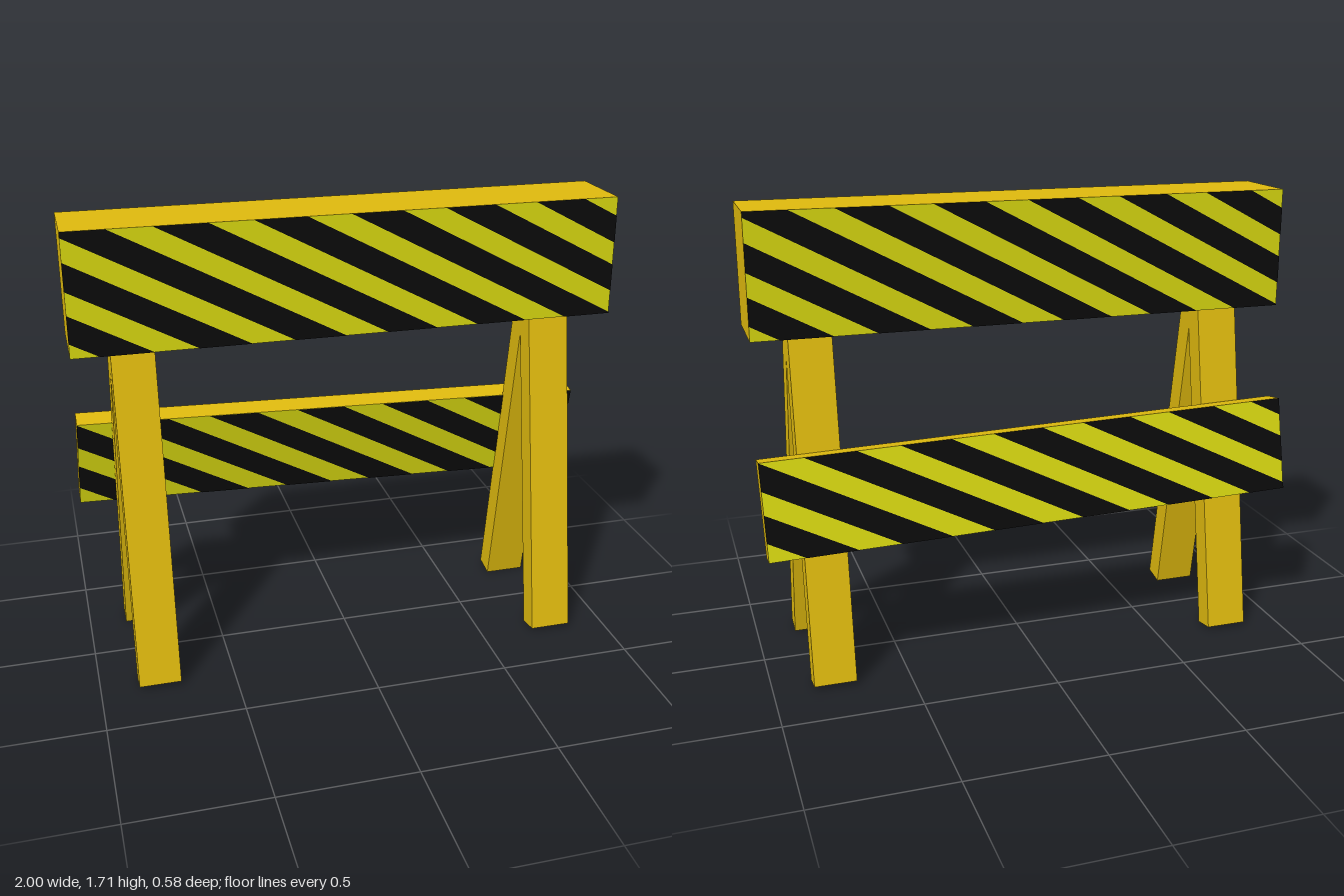
import * as THREE from 'three';

const material = (name, color) => {
  const m = new THREE.MeshStandardMaterial({ color });
  m.name = name;
  return m;
};

// Keep the part of a polygon where sign * x <= limit
function clipX(points, sign, limit) {
  const out = [];
  points.forEach((p, i) => {
    const q = points[(i + 1) % points.length];
    const dp = limit - sign * p.x, dq = limit - sign * q.x;
    if (dp >= 0) out.push(p);
    if (dp * dq < 0) out.push(p.clone().lerp(q, dp / (dp - dq)));
  });
  return out;
}

// Diagonal bands that fall to the right, trimmed to a rectangle
function stripeGeometry(length, height, phase) {
  const period = 0.342, width = 0.187, slope = 0.535;
  const run = height / slope, top = height / 2, half = length / 2;
  const shapes = [];
  for (let a = -half + phase - 5 * period; a < half; a += period) {
    let band = [
      new THREE.Vector2(a, top), new THREE.Vector2(a + run, -top),
      new THREE.Vector2(a + run + width, -top), new THREE.Vector2(a + width, top),
    ];
    band = clipX(clipX(band, 1, half), -1, half);
    if (band.length > 2) shapes.push(new THREE.Shape(band));
  }
  return new THREE.ShapeGeometry(shapes);
}

export function createModel() {
  const gold = material('gold paint', 0xdeb90e);
  const yellow = material('warning yellow', 0xd6d610);
  const black = material('stripe black', 0x0b0b0b);
  const model = new THREE.Group();
  model.name = 'barricade';

  // Board with striped front and back faces
  function board(name, length, height, depth, phase) {
    const group = new THREE.Group();
    group.name = name;
    const core = new THREE.Mesh(new THREE.BoxGeometry(length, height, depth),
      [gold, gold, gold, gold, yellow, yellow]);
    core.name = name + 'Core';
    group.add(core);
    for (const side of [1, -1]) {
      const stripes = new THREE.Mesh(stripeGeometry(length, height, phase), black);
      stripes.name = name + (side > 0 ? 'FrontStripes' : 'BackStripes');
      stripes.position.z = side * (depth / 2 + 0.002);
      if (side < 0) stripes.rotation.y = Math.PI;
      group.add(stripes);
    }
    return group;
  }

  // Top beam
  const beam = board('topBeam', 1.99, 0.44, 0.284, 0.305);
  beam.position.set(-0.004, 1.486, 0);
  model.add(beam);

  // Two pairs of splayed legs, with their tops hidden in the beam
  const lean = THREE.MathUtils.degToRad(10), legLength = 1.36;
  for (const x of [-0.782, 0.778]) {
    for (const side of [1, -1]) {
      const leg = new THREE.Mesh(new THREE.BoxGeometry(0.155, legLength, 0.087), gold);
      leg.name = (side > 0 ? 'front' : 'back') + (x > 0 ? 'LeftLeg' : 'RightLeg');
      leg.rotation.x = -side * lean;
      leg.position.set(x, 0.008 + Math.cos(lean) * legLength / 2,
        side * (0.248 - Math.sin(lean) * legLength / 2));
      model.add(leg);
    }
  }

  // Lower board, resting crookedly on the back legs
  const lower = board('lowerBoard', 1.985, 0.353, 0.087, 0.155);
  lower.rotation.x = lean;
  const tilt = new THREE.Group();
  tilt.name = 'lowerBoardTilt';
  tilt.rotation.set(0, -0.004, -0.029);
  tilt.position.set(0, 0.709, -0.214);
  tilt.add(lower);
  model.add(tilt);

  return model;
}
